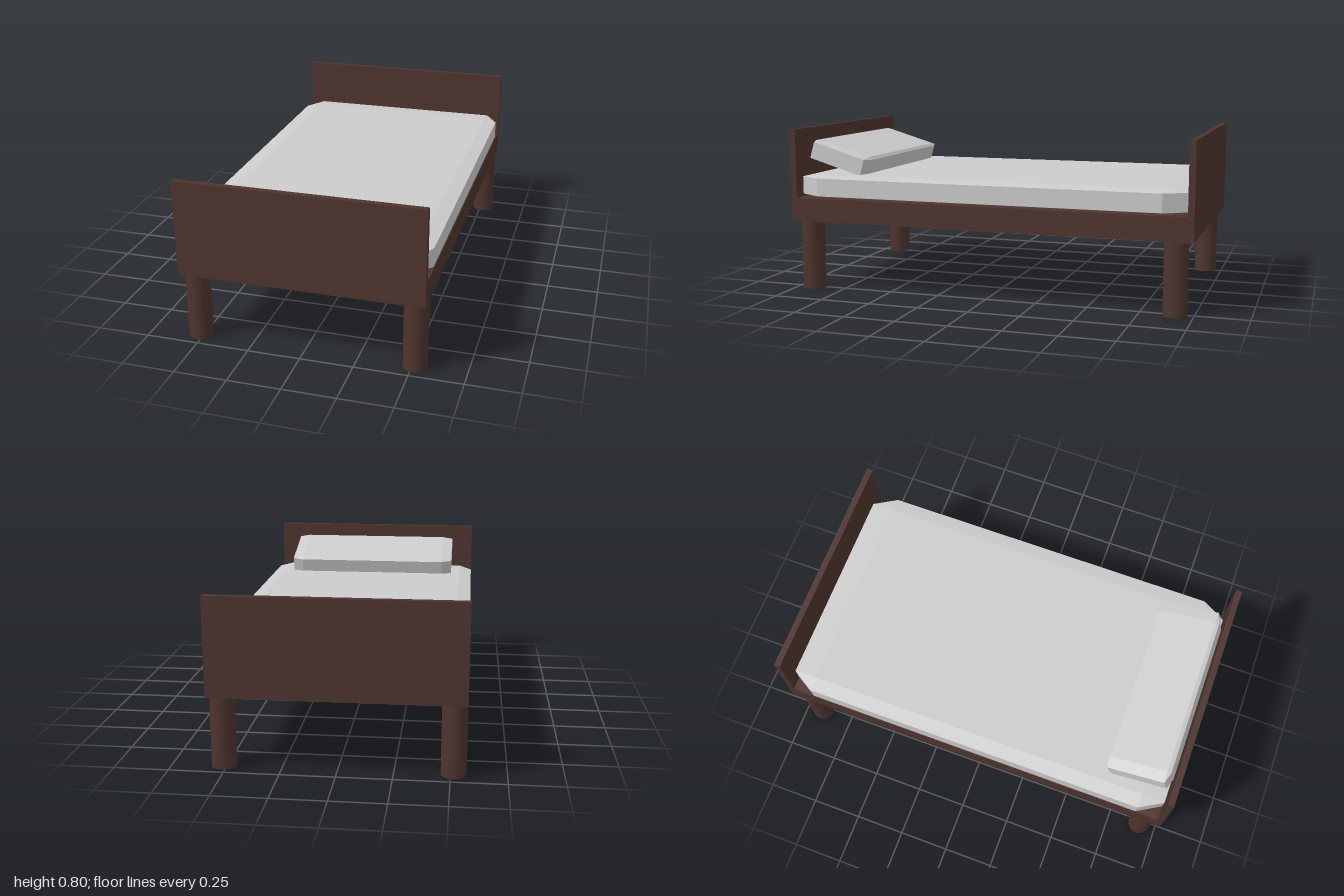
import * as THREE from 'three';
import { ConvexGeometry } from 'three/addons/geometries/ConvexGeometry.js';

// Box with one-step bevels whose inset differs along each axis
function bevelledBox(hx, hy, hz, rx, ry, rz) {
  const points = [];
  for (const sx of [-1, 1]) for (const sy of [-1, 1]) for (const sz of [-1, 1]) {
    points.push(
      new THREE.Vector3(sx * hx, sy * (hy - ry), sz * (hz - rz)),
      new THREE.Vector3(sx * (hx - rx), sy * hy, sz * (hz - rz)),
      new THREE.Vector3(sx * (hx - rx), sy * (hy - ry), sz * hz)
    );
  }
  return new ConvexGeometry(points);
}

export function createModel() {
  const wood = new THREE.MeshStandardMaterial({ name: 'dark brown wood', color: 0x4e342e });
  const linen = new THREE.MeshStandardMaterial({ name: 'pale grey linen', color: 0xcccccc });
  const model = new THREE.Group();
  model.name = 'bed';

  const add = (name, geometry, material, x, y, z) => {
    const mesh = new THREE.Mesh(geometry, material);
    mesh.name = name;
    mesh.position.set(x, y, z);
    model.add(mesh);
    return mesh;
  };

  const halfWidth = 0.571, legHeight = 0.345, frameTop = 0.46, boardTop = 0.8, board = 0.03;

  // Base slab between the two end boards
  add('frame', new THREE.BoxGeometry(halfWidth * 2, frameTop - legHeight, 2 - board * 2), wood,
    0, (legHeight + frameTop) / 2, 0);

  // End boards and round legs
  const boardGeometry = new THREE.BoxGeometry(halfWidth * 2, boardTop - legHeight, board);
  const legGeometry = new THREE.CylinderGeometry(0.057, 0.057, legHeight, 16);
  for (const sz of [1, -1]) {
    add(sz > 0 ? 'headboard' : 'footboard', boardGeometry, wood,
      0, (legHeight + boardTop) / 2, sz * (1 - board / 2));
    for (const sx of [1, -1]) {
      add((sz > 0 ? 'front' : 'back') + (sx > 0 ? 'Left' : 'Right') + 'Leg', legGeometry, wood,
        sx * (halfWidth - 0.057), legHeight / 2, sz * 0.914);
    }
  }

  // Mattress with clipped corners
  add('mattress', bevelledBox(halfWidth, 0.056, 0.97, 0.068, 0.012, 0.115), linen, 0, 0.517, 0);

  // Pillow leaning up against the headboard
  const pillow = add('pillow', bevelledBox(0.457, 0.052, 0.161, 0.055, 0.01, 0.018), linen, 0, 0.649, 0.804);
  pillow.rotation.x = -0.288;

  return model;
}
